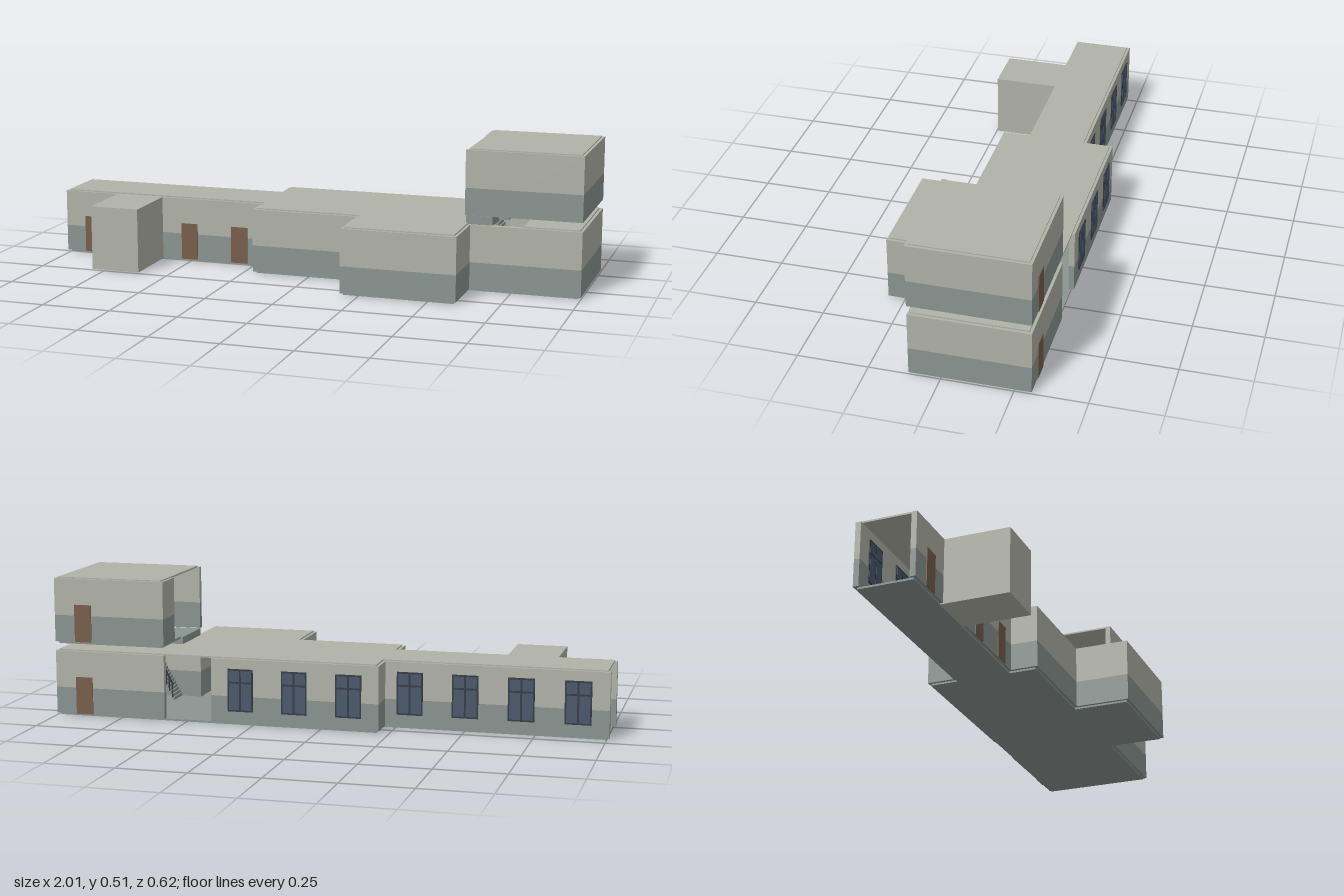
import * as THREE from 'three';

const mat = (name, color) => Object.assign(new THREE.MeshStandardMaterial({ color }), { name });

export function createModel() {
  const wallPaint = mat('wall paint', 0xb0b2a7);
  const lowerPaint = mat('lower wall paint', 0x8a9490);
  const doorWood = mat('door wood', 0x785f4b);
  const frameDark = mat('window frame', 0x343c46);
  const glass = mat('window glass', 0x4a586c);

  const model = new THREE.Group();
  model.name = 'building';
  const M = 0.199, T = 0.02, STOREY = 0.267;
  const gx = (k) => -1 + M * k; // grid line along x

  // Box from minimum and maximum corners
  function block(parent, name, material, x0, x1, y0, y1, z0, z1) {
    const mesh = new THREE.Mesh(new THREE.BoxGeometry(x1 - x0, y1 - y0, z1 - z0), material);
    mesh.position.set((x0 + x1) / 2, (y0 + y1) / 2, (z0 + z1) / 2);
    mesh.name = name;
    parent.add(mesh);
  }

  // Two-tone wall panel; local x runs along the wall
  function panel(length, detail) {
    const g = new THREE.Group();
    g.name = 'wallPanel';
    const h = length / 2 + 0.01;
    block(g, 'lowerWall', lowerPaint, -h, h, 0.007, 0.105, -T / 2, T / 2);
    block(g, 'upperWall', wallPaint, -h, h, 0.105, 0.24, -T / 2, T / 2);
    for (const s of [-1, 1]) {
      const plate = (name, m, x0, x1, y0, y1, d) =>
        block(g, name, m, x0, x1, y0, y1, s * 0.0115 - d, s * 0.0115 + d);
      if (detail === 'door') plate('door', doorWood, -0.032, 0.032, 0.008, 0.145, 0.002);
      if (detail === 'window') {
        plate('windowFrame', frameDark, -0.047, 0.047, 0.05, 0.205, 0.002);
        for (const c of [-1, 1]) {
          const x = c * 0.0225;
          plate('windowPane', glass, x - 0.019, x + 0.019, 0.056, 0.152, 0.003);
          plate('windowPane', glass, x - 0.019, x + 0.019, 0.159, 0.199, 0.003);
        }
      }
    }
    return g;
  }
  // Wall along x in grid cell k at depth z
  function wallX(k, z, detail, y = 0) {
    const p = panel(M, detail);
    p.position.set(gx(k + 0.5), y, z);
    model.add(p);
  }
  // Wall along z on grid line k
  function wallZ(k, z0, z1, y = 0) {
    const p = panel(z1 - z0);
    p.rotation.y = Math.PI / 2;
    p.position.set(gx(k), y, (z0 + z1) / 2);
    model.add(p);
  }
  const slab = (name, m, k0, k1, z0, z1, y0, y1) => block(model, name, m, gx(k0), gx(k1), y0, y1, z0, z1);

  // Corridor wing, open at its far end
  for (let k = 0; k < 4; k++) {
    wallX(k, -0.2, 'window');
    if (k !== 1) wallX(k, 0, 'door');
  }
  block(model, 'entranceBlock', wallPaint, -0.797, -0.613, 0.003, 0.24, -0.01, 0.245);

  // Main hall and front bay, with a bare bay in the back wall
  for (let k = 4; k < 7; k++) wallX(k, -0.3, 'window');
  for (let k = 4; k < 6; k++) wallX(k, 0.1);
  for (let k = 6; k < 8; k++) wallX(k, 0.3);
  wallZ(4, -0.3, -0.2);
  wallZ(4, 0, 0.1);
  wallZ(6, 0.1, 0.3);
  wallZ(8, 0.1, 0.3);

  // Stair tower, two storeys
  for (const y of [0, STOREY]) {
    for (let k = 8; k < 10; k++) {
      wallX(k, 0.1, undefined, y);
      wallX(k, -0.3, k === 9 ? 'door' : undefined, y);
    }
    wallZ(10, -0.3, -0.1, y);
    wallZ(10, -0.1, 0.1, y);
  }
  wallZ(8, -0.3, -0.2, STOREY);

  // Floors and roofs
  const areas = [[0, 4, -0.2, 0], [4, 8, -0.3, 0.1], [6, 8, 0.1, 0.3]];
  for (const a of areas) {
    slab('floor', lowerPaint, ...a, 0, 0.007);
    slab('roof', wallPaint, ...a, 0.239, 0.245);
  }
  slab('towerFloor', lowerPaint, 8, 10, -0.3, 0.1, 0, 0.007);
  slab('towerCeiling', wallPaint, 8, 10, -0.3, -0.1, 0.239, 0.245);
  slab('towerCeiling', wallPaint, 9, 10, -0.1, 0.1, 0.239, 0.245);
  slab('upperFloor', lowerPaint, 8, 10, -0.3, -0.1, 0.266, 0.274);
  slab('towerRoof', wallPaint, 8, 10, -0.3, 0.1, 0.505, 0.511);

  // Stairs: first flight, half landing, second flight, top landing
  const n = 11, rise = 0.0115, run = 0.006;
  for (let i = 0; i < n; i++) {
    const x = 0.66 + i * run, y = 0.007 + (i + 1) * rise;
    block(model, 'lowerStep', lowerPaint, x, x + run, y - rise * 1.5, y, 0.005, 0.09);
    const x2 = 0.72 - i * run, y2 = 0.134 + (i + 1) * rise;
    block(model, 'upperStep', lowerPaint, x2 - run, x2, y2 - rise * 1.5, y2, -0.094, -0.005);
  }
  block(model, 'highStep', lowerPaint, 0.68, 0.715, 0.24, 0.25, -0.094, -0.005);
  block(model, 'highStep', lowerPaint, 0.68, 0.70, 0.24, 0.262, -0.094, -0.005);
  block(model, 'halfLanding', lowerPaint, 0.72, gx(9), 0.126, 0.134, -0.1, 0.09);
  block(model, 'topLanding', lowerPaint, 0.584, 0.68, 0.238, 0.271, -0.1, 0.1);

  // Handrail between the flights
  for (let i = 0; i < 5; i++) {
    const x = 0.665 + i * 0.012, y = 0.02 + i * 0.023;
    block(model, 'railPost', frameDark, x - 0.002, x + 0.002, y, y + 0.055, -0.002, 0.002);
  }
  const rail = new THREE.Mesh(new THREE.BoxGeometry(0.125, 0.005, 0.005), frameDark);
  rail.name = 'handrail';
  rail.position.set(0.69, 0.121, 0);
  rail.rotation.z = Math.atan2(0.092, 0.048);
  model.add(rail);
  return model;
}
